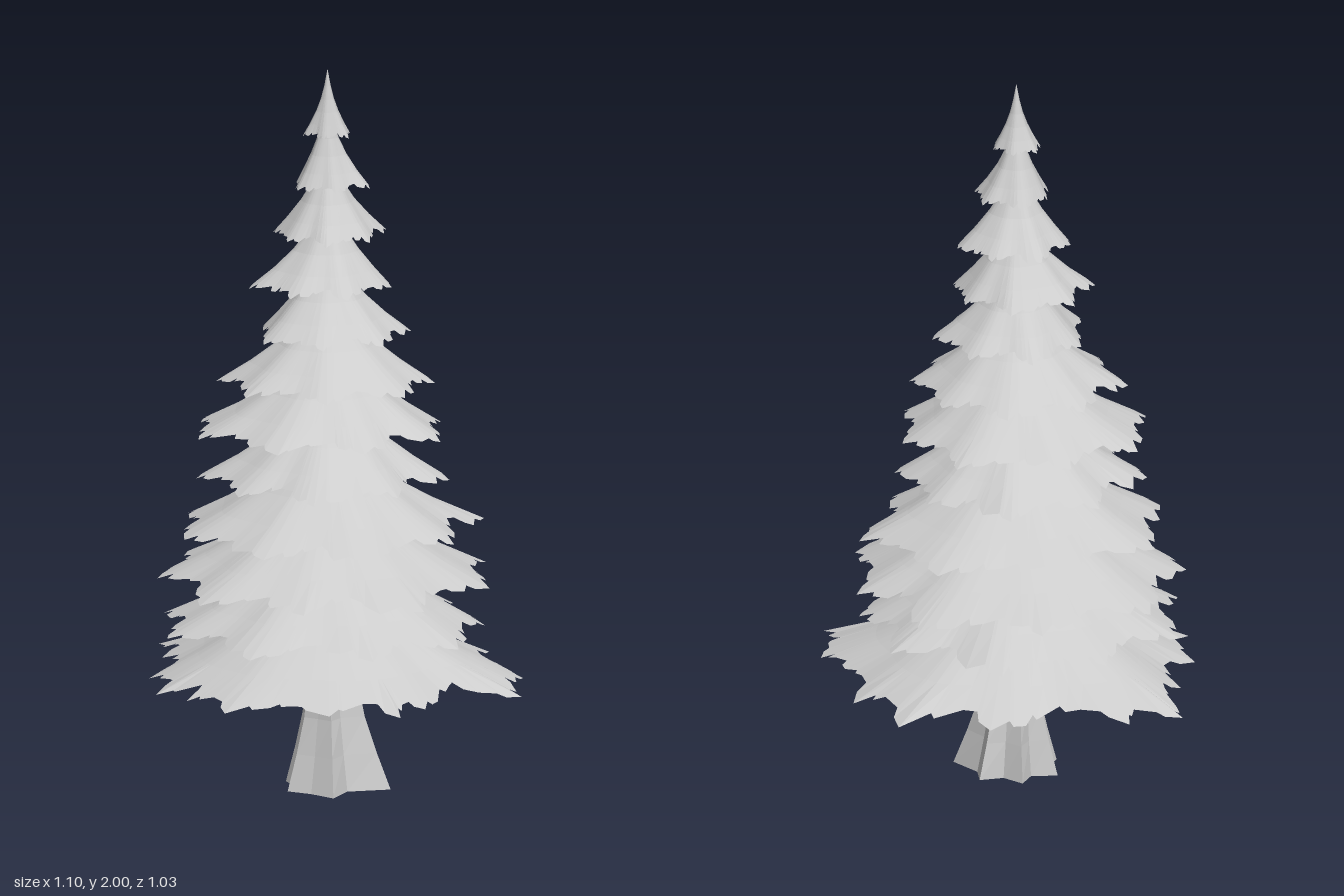
import * as THREE from 'three';

const AXIS_X = -0.02, AXIS_Z = 0.01;

// rim height, then reach in -x, +x, -z, +z, then number of branches
const TIERS = [
  [0.315, -0.55, 0.55, -0.52, 0.52, 9],
  [0.455, -0.49, 0.40, -0.44, 0.47, 9],
  [0.59, -0.47, 0.44, -0.49, 0.48, 9],
  [0.725, -0.43, 0.37, -0.42, 0.42, 8],
  [0.865, -0.37, 0.31, -0.33, 0.355, 8],
  [1.0, -0.38, 0.31, -0.32, 0.34, 8],
  [1.135, -0.32, 0.27, -0.27, 0.29, 8],
  [1.27, -0.21, 0.20, -0.19, 0.23, 7],
  [1.405, -0.22, 0.16, -0.18, 0.20, 7],
  [1.545, -0.17, 0.13, -0.15, 0.17, 7],
  [1.68, -0.11, 0.10, -0.09, 0.10, 6],
  [1.82, -0.085, 0.045, -0.055, 0.065, 6],
];

// outline of the lowest skirt, x and z in turn
const LOWEST = [
  .55, .15, .44, .19, .36, .21, .35, .31, .33, .38, .27, .40, .28, .47, .17, .44, .09, .51,
  -.03, .48, -.08, .49, -.20, .515, -.25, .42, -.33, .40, -.30, .34, -.43, .33, -.41, .24,
  -.49, .14, -.43, .02, -.50, -.08, -.47, -.15, -.52, -.22, -.55, -.28, -.42, -.31, -.42, -.365,
  -.28, -.35, -.20, -.38, -.15, -.45, -.06, -.49, .03, -.43, .19, -.52, .26, -.37, .35, -.37,
  .36, -.22, .42, -.16, .46, -.09, .51, -.06, .51, .03, .50, .06,
];

// concave skirt profile: share of radius, share of height
const PROFILE = [[1, 0], [0.75, 0.17], [0.5, 0.36], [0.3, 0.55], [0.15, 0.75], [0.07, 1]];

function seeded(seed) {
  let s = seed * 7919 + 17;
  return () => (s = (s * 16807) % 2147483647) / 2147483647;
}

// joins rings of equal length into a surface; rings run from bottom to top
function loft(rings, capBottom) {
  const n = rings[0].length, pos = rings.flat(2), index = [];
  for (let j = 0; j < rings.length - 1; j++) {
    for (let i = 0; i < n; i++) {
      const a = j * n + i, b = j * n + (i + 1) % n;
      index.push(a, a + n, b, b, a + n, b + n);
    }
  }
  if (capBottom) {
    const c = pos.length / 3;
    pos.push(0, rings[0][0][1], 0.02);
    for (let i = 0; i < n; i++) index.push(c, i, (i + 1) % n);
  }
  const g = new THREE.BufferGeometry();
  g.setAttribute('position', new THREE.Float32BufferAttribute(pos, 3));
  g.setIndex(index);
  const flat = g.toNonIndexed();
  flat.computeVertexNormals();
  return flat;
}

// irregular star outline fitted to the tier's reach
function starOutline([, x0, x1, z0, z1, branches], rand) {
  const count = branches * 4, phase = rand() * 6, pts = [];
  let reach = 1;
  for (let i = 0; i < count; i++) {
    const k = i % 4;
    if (k === 0) reach = 0.94 + rand() * 0.12;
    const r = [0.83, 0.91, 1, 0.92][k] * reach + (rand() - 0.5) * 0.04;
    const a = phase + (i + (rand() - 0.5) * 0.6) / count * Math.PI * 2;
    pts.push([Math.cos(a) * r, Math.sin(a) * r]);
  }
  const max = (f) => Math.max(...pts.map(f));
  const px = max(p => p[0]), nx = max(p => -p[0]), pz = max(p => p[1]), nz = max(p => -p[1]);
  return pts.map(([x, z]) => [
    x > 0 ? x / px * (x1 - AXIS_X) : x / nx * (AXIS_X - x0),
    z > 0 ? z / pz * (z1 - AXIS_Z) : z / nz * (AXIS_Z - z0),
  ]);
}

// cuts one small saw tooth into every edge of an outline
function addTeeth(outline, rand) {
  return outline.flatMap((p, i) => {
    const q = outline[(i + 1) % outline.length];
    const t = 0.3 + rand() * 0.3, pull = 0.98 - rand() * 0.04;
    const at = (s, k) => [(p[0] + (q[0] - p[0]) * s) * k, (p[1] + (q[1] - p[1]) * s) * k];
    return [p, at(t, 1), at(t + 0.12, pull)];
  });
}

// height share of the profile at a given share of the radius; tips droop slightly past the rim
function riseAt(share) {
  const j = Math.max(1, PROFILE.findIndex(p => p[0] <= share));
  const [s0, h0] = PROFILE[j - 1], [s1, h1] = PROFILE[j];
  return Math.max(-0.03, h0 + (h1 - h0) * (s0 - share) / (s0 - s1));
}

// smooth drooping cone whose rim is trimmed to the ragged outline
function skirtGeometry(tier, level) {
  const last = level === TIERS.length - 1, rand = seeded(level + 3);
  let outline = [];
  if (level === 0) {
    for (let i = 0; i < LOWEST.length; i += 2) outline.push([LOWEST[i] - AXIS_X, LOWEST[i + 1] - AXIS_Z]);
  } else {
    outline = starOutline(tier, rand);
  }
  const rim = addTeeth(outline, rand).map(([x, z]) => ({ a: Math.atan2(z, x), r: Math.hypot(x, z) }));
  const mean = rim.reduce((sum, p) => sum + p.r, 0) / rim.length;
  // radius averaged over the neighbouring directions
  const soft = rim.map(({ a }) => {
    let sum = 0, weight = 0;
    for (const p of rim) {
      const w = Math.exp(-50 * (1 - Math.cos(p.a - a)));
      sum += w * p.r;
      weight += w;
    }
    return 1.02 * sum / weight;
  });
  const height = last ? 2 - tier[0] : 0.36 - level * 0.012;
  const rings = PROFILE.map(([share, rise], row) => rim.map(({ a, r }, i) => {
    let k = Math.min(share * (mean + (soft[i] - mean) * share), r * 0.97);
    if (row === 0) k = r;
    if (last && row === PROFILE.length - 1) k = 0.0005;
    const y = tier[0] + height * (row === 0 ? riseAt(r / soft[i]) : rise);
    return [AXIS_X + Math.cos(a) * k, y, AXIS_Z + Math.sin(a) * k];
  }));
  return loft(rings, false);
}

// fluted trunk with root flares that fade upwards
function trunkGeometry() {
  const roots = [[.16, .03], [.05, .08], [.03, .17], [-.04, .13], [-.11, .11], [-.10, .05], [-.14, -.01],
    [-.07, -.03], [-.06, -.09], [0, -.06], [.06, -.09], [.08, -.03]];
  const levels = [[0, 1, 0], [0.1, 0.8, 0.1], [0.2, 0.63, 0.25], [0.34, 0.5, 0.4], [0.8, 0.36, 0.6], [1.88, 0.05, 1]];
  const rings = levels.map(([y, scale, round]) => roots.map(([x, z]) => {
    const r = Math.hypot(x, z), k = scale * (1 - round + round * 0.115 / r);
    const lean = Math.min(1, y / 0.34);
    return [x * k + AXIS_X * lean * 0.6, y, z * k + AXIS_Z * lean];
  }));
  return loft(rings, true);
}

export function createModel() {
  const tree = new THREE.Group();
  tree.name = 'firTree';
  const grey = new THREE.MeshStandardMaterial({ color: 0xcccccc, flatShading: true, side: THREE.DoubleSide });
  grey.name = 'light grey';

  const trunk = new THREE.Mesh(trunkGeometry(), grey);
  trunk.name = 'trunk';
  tree.add(trunk);

  const foliage = new THREE.Group();
  foliage.name = 'foliage';
  TIERS.forEach((tier, level) => {
    const skirt = new THREE.Mesh(skirtGeometry(tier, level), grey);
    skirt.name = `branchSkirt${level + 1}`;
    foliage.add(skirt);
  });
  tree.add(foliage);
  return tree;
}
